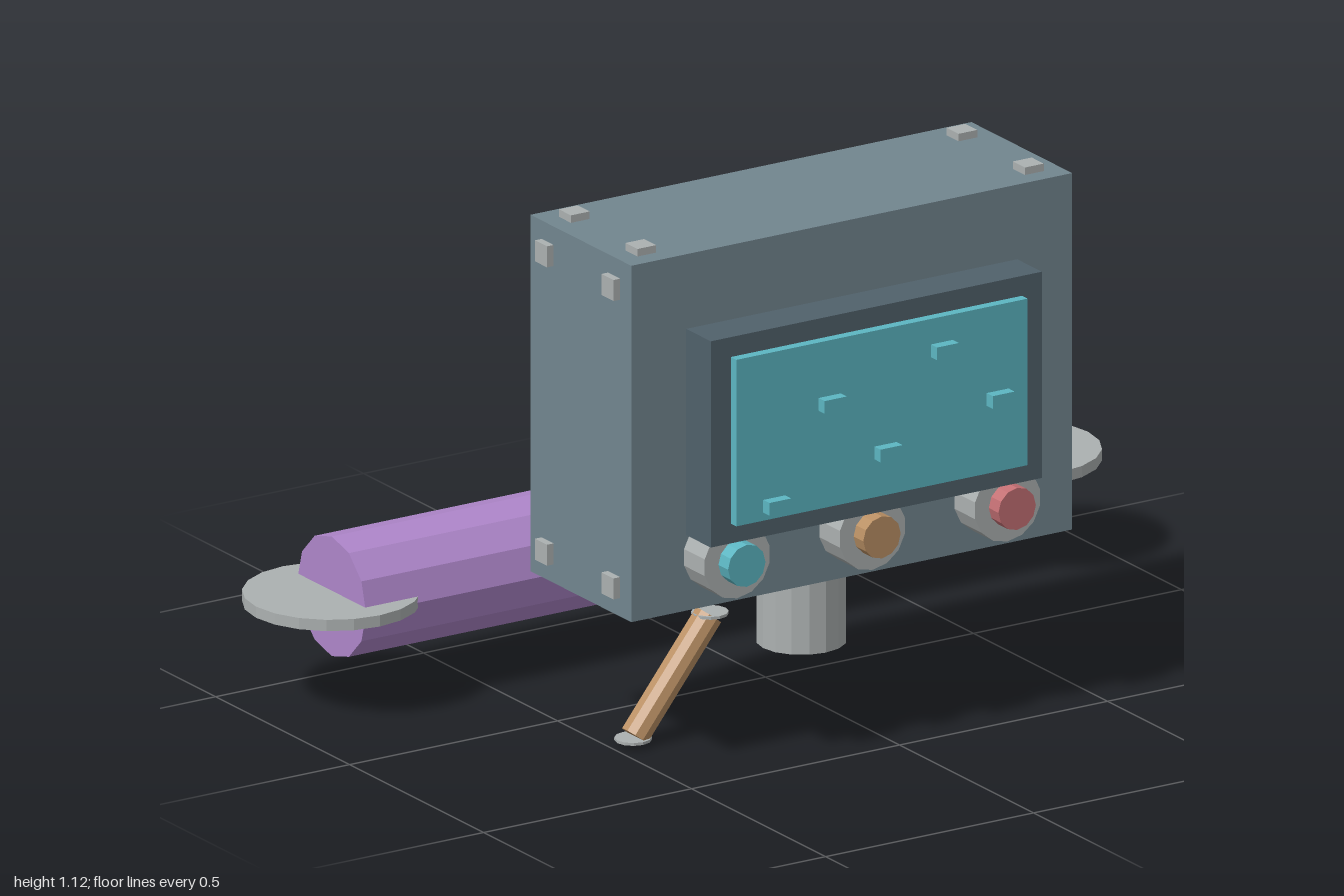
import * as THREE from 'three';

const paint = (name, color) => {
  const m = new THREE.MeshStandardMaterial({ color });
  m.name = name;
  m.flatShading = true;
  return m;
};

export function createModel() {
  const model = new THREE.Group();
  model.name = 'controlBox';

  const slate = paint('slate', 0x72868f);
  const darkSlate = paint('darkSlate', 0x50616b);
  const teal = paint('teal', 0x5cb6c2);
  const purple = paint('purple', 0xae86ca);
  const copper = paint('copper', 0xba9064);
  const red = paint('red', 0xc47074);
  const steel = paint('steel', 0xacb1b1);

  const add = (name, geometry, material, x, y, z) => {
    const mesh = new THREE.Mesh(geometry, material);
    mesh.name = name;
    mesh.position.set(x, y, z);
    model.add(mesh);
    return mesh;
  };
  const box = (name, mat, w, h, d, x, y, z) =>
    add(name, new THREE.BoxGeometry(w, h, d), mat, x, y, z);
  const cyl = (name, mat, r, h, sides, x, y, z) =>
    add(name, new THREE.CylinderGeometry(r, r, h, sides), mat, x, y, z);

  // Housing
  const cx = -0.048, cy = 0.729, cz = 0.208;
  const W = 1.06, H = 0.762, D = 0.376;
  const front = cz + D / 2;
  box('housing', slate, W, H, D, cx, cy, cz);

  // Bolts near the corners of the top, bottom and both sides
  for (const a of [-1, 1]) {
    for (const b of [-1, 1]) {
      for (const c of [-1, 1]) {
        const z = cz + c * 0.124;
        box('capBolt', steel, 0.045, 0.032, 0.045, cx + a * 0.466, cy + b * H / 2, z);
        box('sideBolt', steel, 0.032, 0.045, 0.045, cx + a * W / 2, cy + b * 0.319, z);
      }
    }
  }

  // Screen in its frame, with raised markers
  box('screenFrame', darkSlate, 0.796, 0.441, 0.092, cx, 0.73, front + 0.046);
  box('screen', teal, 0.7, 0.356, 0.03, cx, 0.73, 0.494);
  const markers = [[-0.307, 0.583], [-0.04, 0.647], [0.23, 0.711], [-0.174, 0.776], [0.096, 0.84]];
  for (const [x, y] of markers) {
    box('screenMarker', teal, 0.053, 0.027, 0.028, x, y, 0.518);
  }

  // Knobs with coloured caps
  [teal, copper, red].forEach((mat, i) => {
    const x = cx + (i - 1) * 0.325;
    cyl('knobBase', steel, 0.08, 0.077, 14, x, 0.463, front + 0.0385).rotation.x = Math.PI / 2;
    cyl('knobCap', mat, 0.045, 0.05, 12, x, 0.463, 0.484).rotation.x = Math.PI / 2;
  });

  // Post below the housing
  cyl('post', steel, 0.092, 0.194, 16, cx, 0.253, cz);

  // Slanted lever with a flat disc at each end
  const low = new THREE.Vector3(-0.452, 0.021, 0.207);
  const high = new THREE.Vector3(-0.267, 0.256, 0.207);
  const run = high.clone().sub(low);
  const mid = low.clone().add(high).multiplyScalar(0.5);
  const lever = cyl('lever', copper, 0.031, run.length() - 0.012, 10, mid.x, mid.y, mid.z);
  lever.quaternion.setFromUnitVectors(new THREE.Vector3(0, 1, 0), run.normalize());
  for (const p of [low, high]) cyl('leverDisc', steel, 0.038, 0.006, 12, p.x, p.y, p.z);

  // Roller behind the housing with a flat disc at each end
  const ry = 0.232, rz = -0.349;
  const rollerShape = new THREE.CylinderGeometry(0.128, 0.128, 1.636, 12).rotateZ(Math.PI / 2);
  add('roller', rollerShape, purple, 0, ry, rz);
  for (const s of [-1, 1]) cyl('rollerDisc', steel, 0.181, 0.024, 20, s * 0.819, ry, rz);

  return model;
}
